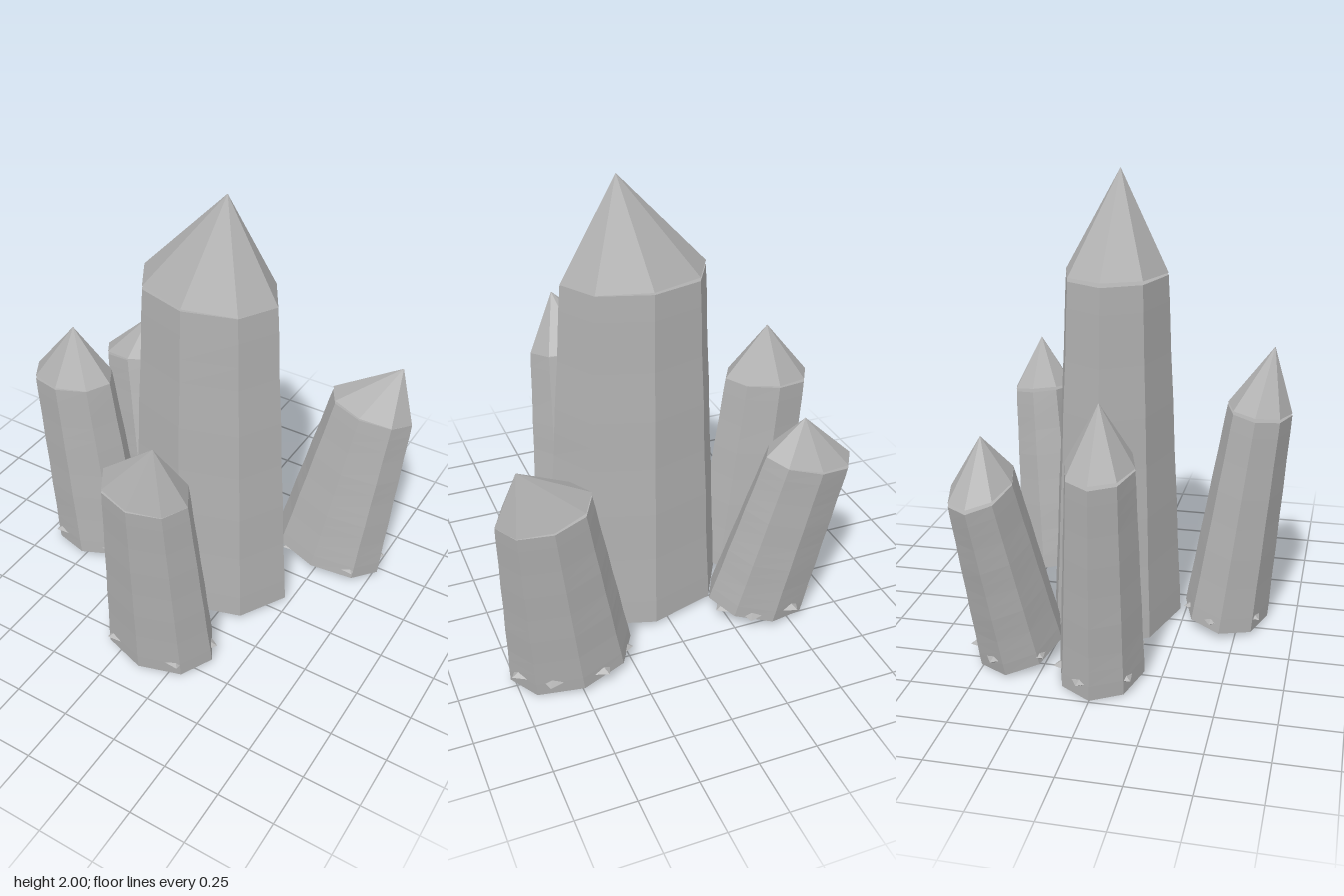
import * as THREE from 'three';

const stone = new THREE.MeshStandardMaterial({ color: 0xb0b0b0, flatShading: true });
stone.name = 'grey stone';

// base / top: [x, z, radiusX, radiusZ] of the shaft ends; topY: shoulder height; apex: [x, y, z]
const CRYSTALS = [
  { name: 'mainCrystal', base: [0.07, -0.065, 0.41, 0.295], top: [0.055, -0.06, 0.315, 0.222], topY: 1.57, apex: [0.13, 2, -0.06], studs: 0 },
  { name: 'rightCrystal', base: [-0.51, 0, 0.235, 0.18], top: [-0.61, 0.02, 0.2, 0.14], topY: 0.945, apex: [-0.6, 1.2, 0.015], studs: 1 },
  { name: 'backRightCrystal', base: [-0.405, -0.38, 0.23, 0.178], top: [-0.57, -0.475, 0.2, 0.128], topY: 0.81, apex: [-0.535, 1.01, -0.485], studs: 1 },
  { name: 'backLeftCrystal', base: [0.5, -0.465, 0.268, 0.178], top: [0.615, -0.555, 0.195, 0.14], topY: 0.875, apex: [0.725, 1.1, -0.595], studs: 1 },
  { name: 'frontCrystal', base: [0.118, 0.435, 0.265, 0.187], top: [0.135, 0.555, 0.2, 0.14], topY: 0.98, apex: [0.21, 1.245, 0.605], studs: 1 },
];
const STUD_ANGLES = [48, 130, 195, 245, 300, 345];
const SHOULDER_GAP = 0.018;

// Apply a rule to every vertex
function reshape(geometry, rule) {
  const p = geometry.attributes.position;
  const v = new THREE.Vector3();
  for (let i = 0; i < p.count; i++) {
    rule(v.fromBufferAttribute(p, i));
    p.setXYZ(i, v.x, v.y, v.z);
  }
  geometry.computeVertexNormals();
  return geometry;
}

function makeCrystal({ name, base, top, topY, apex, studs }) {
  const group = new THREE.Group();
  group.name = name;
  const add = (geometry, partName) => {
    const mesh = new THREE.Mesh(geometry, stone);
    mesh.name = partName;
    group.add(mesh);
    return mesh;
  };

  // Rings sit square to the leaning axis, with the lowest corner just above the ground
  const leanX = (top[0] - base[0]) / topY;
  const leanZ = (top[1] - base[1]) / topY;
  const baseY = Math.max(0.022, Math.hypot(leanX * base[2], leanZ * base[3]) + 0.003);
  const mix = (i, t) => THREE.MathUtils.lerp(base[i], top[i], t);

  // Tapered, leaning shaft with faint growth ridges
  add(reshape(new THREE.CylinderGeometry(1, 1, 1, 8, 14), (v) => {
    const t = v.y + 0.5;
    const ridge = 1 + 0.004 * Math.sin(t * Math.PI * 7);
    const dx = v.x * mix(2, t) * ridge;
    const dz = v.z * mix(3, t) * ridge;
    const y = THREE.MathUtils.lerp(baseY, topY, t) - leanX * dx - leanZ * dz;
    v.set(mix(0, t) + dx, y, mix(1, t) + dz);
  }), 'shaft');

  // Pointed tip, lifted slightly off the shoulder on one side
  add(reshape(new THREE.ConeGeometry(1, 1, 8, 1), (v) => {
    if (v.y > 0) return v.set(...apex);
    const dx = v.x * top[2];
    const dz = v.z * top[3];
    const lift = SHOULDER_GAP * (1 - v.x) / 2;
    return v.set(top[0] + dx, topY - leanX * dx - leanZ * dz + lift, top[1] + dz);
  }), 'tip');

  // Shallow foot bulging under the base
  const foot = add(new THREE.SphereGeometry(1, 16, 8), 'foot');
  foot.scale.set(base[2] * 0.4, baseY, base[3] * 0.4);
  foot.position.set(base[0], baseY, base[1]);

  // Small flat diamonds around the base
  if (studs) {
    for (const degrees of STUD_ANGLES) {
      const a = THREE.MathUtils.degToRad(degrees);
      const stud = add(new THREE.OctahedronGeometry(1), 'baseStud');
      stud.scale.set(0.045, 0.022, 0.045);
      stud.position.set(base[0] + leanX * 0.07 + Math.cos(a) * base[2] * 0.86, 0.07, base[1] + leanZ * 0.07 + Math.sin(a) * base[3] * 0.86);
      stud.rotation.y = -a;
    }
  }
  return group;
}

export function createModel() {
  const model = new THREE.Group();
  model.name = 'crystalCluster';
  for (const spec of CRYSTALS) model.add(makeCrystal(spec));
  return model;
}
